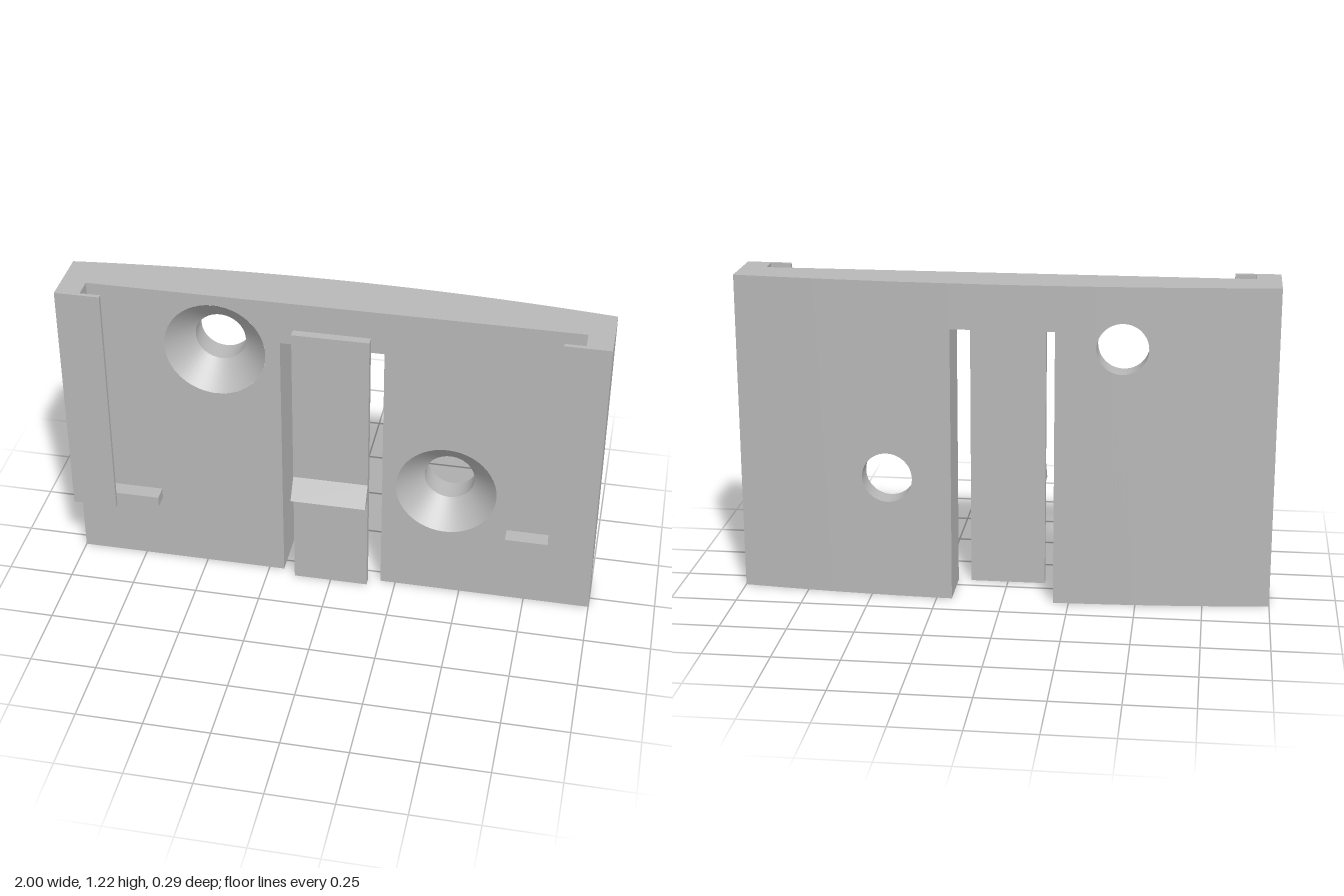
import * as THREE from 'three';
import { mergeVertices } from 'three/addons/utils/BufferGeometryUtils.js';

const HEIGHT = 1.22, FRONT = 0.053, SLOT = 0.192, SLOT_TOP = 1.05;
const SEGMENTS = 48, SINK_RADIUS = 0.19, HOLE_RADIUS = 0.095, SINK_Z = -0.042;
const HOLES = [[-0.437, 0.99], [0.434, 0.47]];
const frontZ = () => FRONT;
const backZ = x => -0.143 + 0.056 * x * x; // bowed back

function fromPositions(positions, smooth) {
  let geometry = new THREE.BufferGeometry();
  geometry.setAttribute('position', new THREE.Float32BufferAttribute(positions, 3));
  if (smooth) geometry = mergeVertices(geometry, 1e-5);
  geometry.computeVertexNormals();
  return geometry;
}

// Face of the plate in vertical strips, leaving out the slot and round holes
function plateFace(zAt, radius, flip) {
  const xs = [-SLOT, SLOT];
  for (let i = 0; i <= 40; i++) xs.push(-1 + i / 20);
  for (const [cx] of HOLES)
    for (let k = 0; k <= SEGMENTS / 2; k++) xs.push(cx + radius * Math.cos(2 * Math.PI * k / SEGMENTS));
  xs.sort((a, b) => a - b);
  const positions = [];
  for (let i = 0; i < xs.length - 1; i++) {
    const x0 = xs[i], x1 = xs[i + 1], mid = (x0 + x1) / 2;
    if (x1 - x0 < 1e-6) continue;
    const hole = HOLES.find(([cx]) => Math.abs(mid - cx) < radius);
    const half = x => Math.sqrt(Math.max(0, radius ** 2 - (x - hole[0]) ** 2));
    let spans = [[() => (Math.abs(mid) < SLOT ? SLOT_TOP : 0), () => HEIGHT]];
    if (hole) spans = [[() => 0, x => hole[1] - half(x)], [x => hole[1] + half(x), () => HEIGHT]];
    for (const [low, high] of spans) {
      const quad = [[x0, low(x0)], [x1, low(x1)], [x1, high(x1)], [x0, high(x0)]];
      const order = flip ? [0, 2, 1, 0, 3, 2] : [0, 1, 2, 0, 2, 3];
      for (const n of order) positions.push(...quad[n], zAt(quad[n][0]));
    }
  }
  return fromPositions(positions, true);
}

// Closed band of quads from a front loop to a back loop
function band(front, back, smooth) {
  const positions = [];
  front.forEach((p, i) => {
    const j = (i + 1) % front.length;
    positions.push(...p, ...back[i], ...back[j], ...p, ...back[j], ...front[j]);
  });
  return fromPositions(positions, smooth);
}

function circle([cx, cy], radius, zAt) {
  return Array.from({ length: SEGMENTS }, (_, k) => {
    const a = -2 * Math.PI * k / SEGMENTS, x = cx + radius * Math.cos(a);
    return [x, cy + radius * Math.sin(a), zAt(x)];
  });
}

function outline(zAt) {
  const corners = [[-1, 0], [-SLOT, 0], [-SLOT, SLOT_TOP], [SLOT, SLOT_TOP],
    [SLOT, 0], [1, 0], [1, HEIGHT], [-1, HEIGHT]];
  return corners.flatMap(([x, y], i) => {
    const [nx, ny] = corners[(i + 1) % corners.length];
    const steps = Math.max(1, Math.round(Math.abs(nx - x) * 20));
    return Array.from({ length: steps }, (_, k) => {
      const px = x + (nx - x) * k / steps;
      return [px, y + (ny - y) * k / steps, zAt(px)];
    });
  });
}

function extrude(points, depth) {
  const shape = new THREE.Shape(points.map(([x, y]) => new THREE.Vector2(x, y)));
  return new THREE.ExtrudeGeometry(shape, { depth, bevelEnabled: false });
}

export function createModel() {
  const model = new THREE.Group();
  model.name = 'mountingPlate';
  const grey = new THREE.MeshStandardMaterial({ color: 0xb8b8b8 });
  grey.name = 'plain grey';
  const add = (name, geometry, parent = model) => {
    const mesh = new THREE.Mesh(geometry, grey);
    mesh.name = name;
    parent.add(mesh);
    return mesh;
  };

  // Slotted plate with a flat front and bowed back
  const plate = new THREE.Group();
  plate.name = 'plate';
  model.add(plate);
  add('plateFront', plateFace(frontZ, SINK_RADIUS, false), plate);
  add('plateBack', plateFace(backZ, HOLE_RADIUS, true), plate);
  add('plateEdges', band(outline(frontZ), outline(backZ), false), plate);

  // Countersunk screw holes
  for (const hole of HOLES) {
    const throat = circle(hole, HOLE_RADIUS, () => SINK_Z);
    add('countersink', band(circle(hole, SINK_RADIUS, frontZ), throat, true), plate);
    add('screwHole', band(throat, circle(hole, HOLE_RADIUS, backZ), true), plate);
  }

  // Spring tongue with a wedge-shaped catch, drawn in side profile
  const tongue = extrude([[FRONT, 0], [0.086, 0], [0.086, 0.405], [0.14, 0.405],
    [0.086, 0.48], [0.086, 1.11], [FRONT, 1.11]], 0.285);
  tongue.rotateY(-Math.PI / 2).translate(0.1425, 0, 0);
  add('springTongue', tongue);

  // Hooked side rails and the stops at their feet
  for (const [side, s] of [['left', 1], ['right', -1]]) {
    const rail = extrude([[1, -FRONT], [1, -0.143], [0.832, -0.143], [0.832, -0.127],
      [0.908, -0.127], [0.908, -FRONT]].map(([x, y]) => [s * x, y]), HEIGHT - 0.28);
    rail.rotateX(-Math.PI / 2).translate(0, 0.28, 0);
    add(side + 'Rail', rail);
    const stop = add(side + 'Stop', new THREE.BoxGeometry(0.232, 0.043, 0.06));
    stop.position.set(s * 0.786, 0.3015, FRONT + 0.03);
  }
  return model;
}
